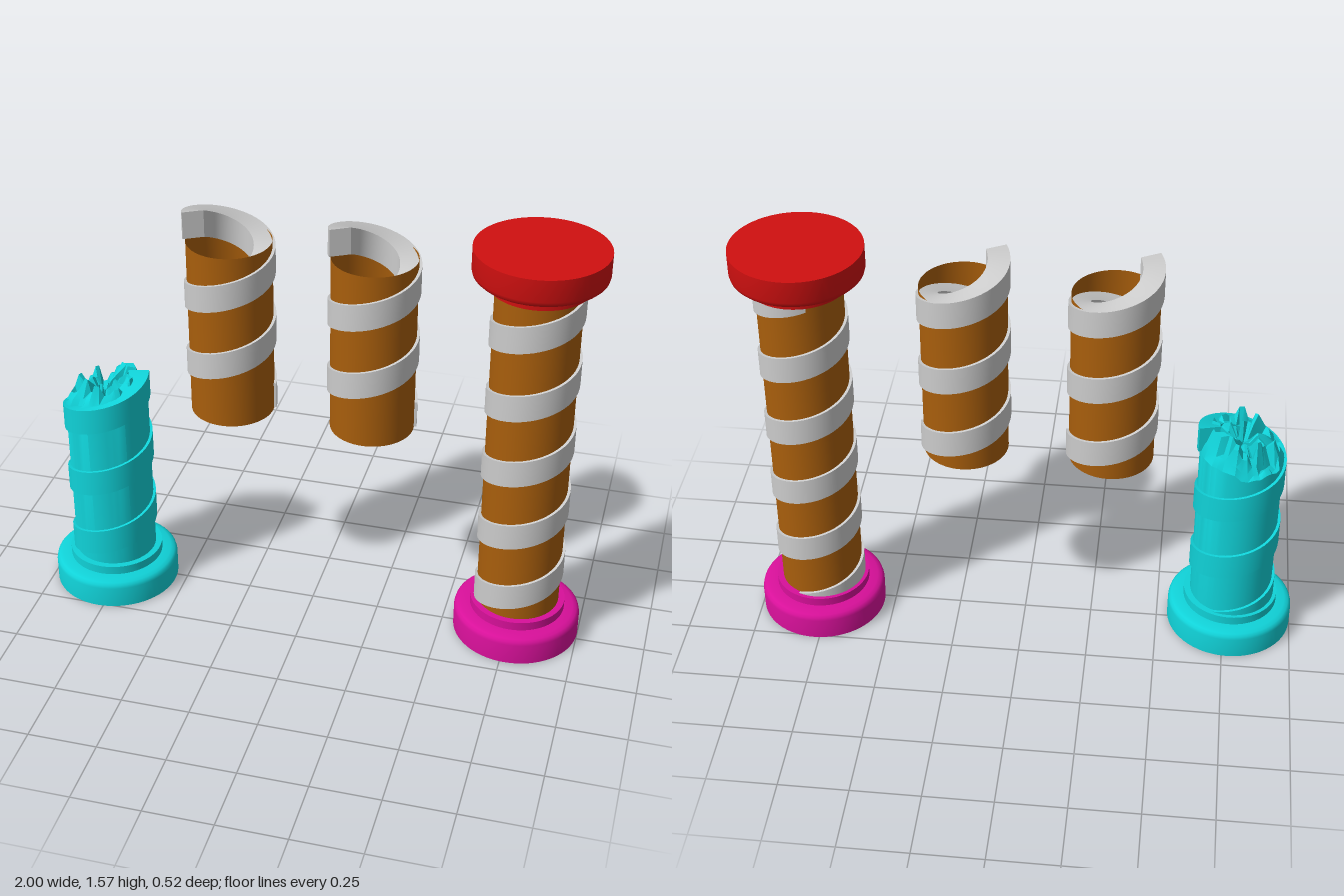
import * as THREE from 'three';
import { toCreasedNormals } from 'three/addons/utils/BufferGeometryUtils.js';

const PITCH = 0.265; // rise of the spiral per turn
const R = 0.15; // shaft radius
const rad = THREE.MathUtils.degToRad;

const material = (color, side = THREE.FrontSide) =>
  new THREE.MeshStandardMaterial({ color, side });
const brown = material(0xa85e0c, THREE.DoubleSide);
const grey = material(0xcccccc);
const red = material(0xd01010);
const magenta = material(0xd8109a);
const cyan = material(0x10d2d8);

function add(parent, name, geometry, mat) {
  const mesh = new THREE.Mesh(geometry, mat);
  mesh.name = name;
  parent.add(mesh);
  return mesh;
}

function buildGeometry(positions, index) {
  const g = new THREE.BufferGeometry();
  g.setAttribute('position', new THREE.Float32BufferAttribute(positions, 3));
  g.setIndex(index);
  return g;
}

// Spiral band of rectangular section; angles run from +z towards +x
function spiralBand(startDeg, endDeg) {
  const steps = Math.ceil((endDeg - startDeg) / 7.5);
  const section = [[0.085, -0.05], [0.16, -0.05], [0.16, 0.05], [0.085, 0.05]];
  const pos = [], idx = [];
  for (let i = 0; i <= steps; i++) {
    const a = rad(startDeg + ((endDeg - startDeg) * i) / steps);
    const y = 1.3 + (PITCH * a) / (2 * Math.PI);
    for (const [r, dy] of section) pos.push(r * Math.sin(a), y + dy, r * Math.cos(a));
    if (i === steps) break;
    for (let j = 0; j < 4; j++) {
      const p = i * 4 + j, q = i * 4 + ((j + 1) % 4);
      idx.push(p, p + 4, q + 4, p, q + 4, q);
    }
  }
  const e = steps * 4;
  idx.push(0, 1, 2, 0, 2, 3, e, e + 2, e + 1, e, e + 3, e + 2);
  return toCreasedNormals(buildGeometry(pos, idx), 0.6);
}

// Round foot with a softened shoulder and a narrow neck
function footGeometry() {
  const pts = [[0, 0], [0.23, 0], [0.23, 0.08], [0.227, 0.092], [0.219, 0.1],
    [0.205, 0.105], [0.173, 0.107], [0.173, 0.14], [0, 0.14]];
  const lathe = new THREE.LatheGeometry(pts.map(([x, y]) => new THREE.Vector2(x, y)), 64);
  return toCreasedNormals(lathe, 0.6);
}

// Open shaft between two heights
function shaftGeometry(y0, y1) {
  return new THREE.CylinderGeometry(R, R, y1 - y0, 64, 1, true).translate(0, (y0 + y1) / 2, 0);
}

// Shaft whose top is snapped off in splinters
function brokenShaftGeometry() {
  let seed = 11;
  const random = () => (seed = (seed * 16807) % 2147483647) / 2147483647;
  const n = 40;
  // radius, height, roughness of each ring from foot to centre
  const rings = [[R, 0.1, 0], [R, 0.785, 0.012], [0.132, 0.8, 0.025], [0.112, 0.835, 0.055],
    [0.085, 0.835, 0.07], [0.055, 0.825, 0.05], [0.025, 0.815, 0.03], [0, 0.815, 0]];
  const pos = [], idx = [];
  rings.forEach(([r, h, rough], k) => {
    let bump = 0;
    for (let i = 0; i < n; i++) {
      const a = (i / n) * Math.PI * 2;
      if (i % 2 === 0) bump = (random() * 2 - 1) * rough;
      const x = r * Math.sin(a), z = r * Math.cos(a);
      const tilt = k ? 0.16 * (x + z * 0.6) : 0;
      pos.push(x, Math.min(h + bump + tilt, 0.895), z);
      if (k === rings.length - 1) continue;
      const p = k * n + i, q = k * n + ((i + 1) % n);
      idx.push(p, q, q + n, p, q + n, p + n);
    }
  });
  return toCreasedNormals(buildGeometry(pos, idx), 0.5);
}

function wholeColumn() {
  const g = new THREE.Group();
  g.name = 'wholeColumn';
  add(g, 'base', footGeometry(), magenta);
  add(g, 'shaft', shaftGeometry(0.12, 1.44), brown);
  add(g, 'spiralBand', spiralBand(-1660, 200), grey);
  const cap = add(g, 'capital', footGeometry(), red);
  cap.rotation.x = Math.PI;
  cap.position.y = 1.56;
  return g;
}

function columnSegment() {
  const g = new THREE.Group();
  g.name = 'columnSegment';
  add(g, 'shaft', shaftGeometry(0.785, 1.45), brown);
  add(g, 'spiralBand', spiralBand(-625, 299), grey);
  return g;
}

function brokenColumn() {
  const g = new THREE.Group();
  g.name = 'brokenColumn';
  add(g, 'base', footGeometry(), cyan);
  add(g, 'brokenShaft', brokenShaftGeometry(), cyan);
  // Band stops at the break, with its inner part buried in the shaft
  add(g, 'spiralBand', spiralBand(-1660, -615), cyan);
  return g;
}

export function createModel() {
  const model = new THREE.Group();
  model.name = 'columnSet';
  const place = (part, x, z) => {
    part.position.set(x, 0, z);
    model.add(part);
  };
  place(brokenColumn(), -0.77, 0.03);
  place(columnSegment(), -0.308, -0.037);
  place(columnSegment(), 0.207, -0.037);
  place(wholeColumn(), 0.77, -0.03);
  return model;
}
